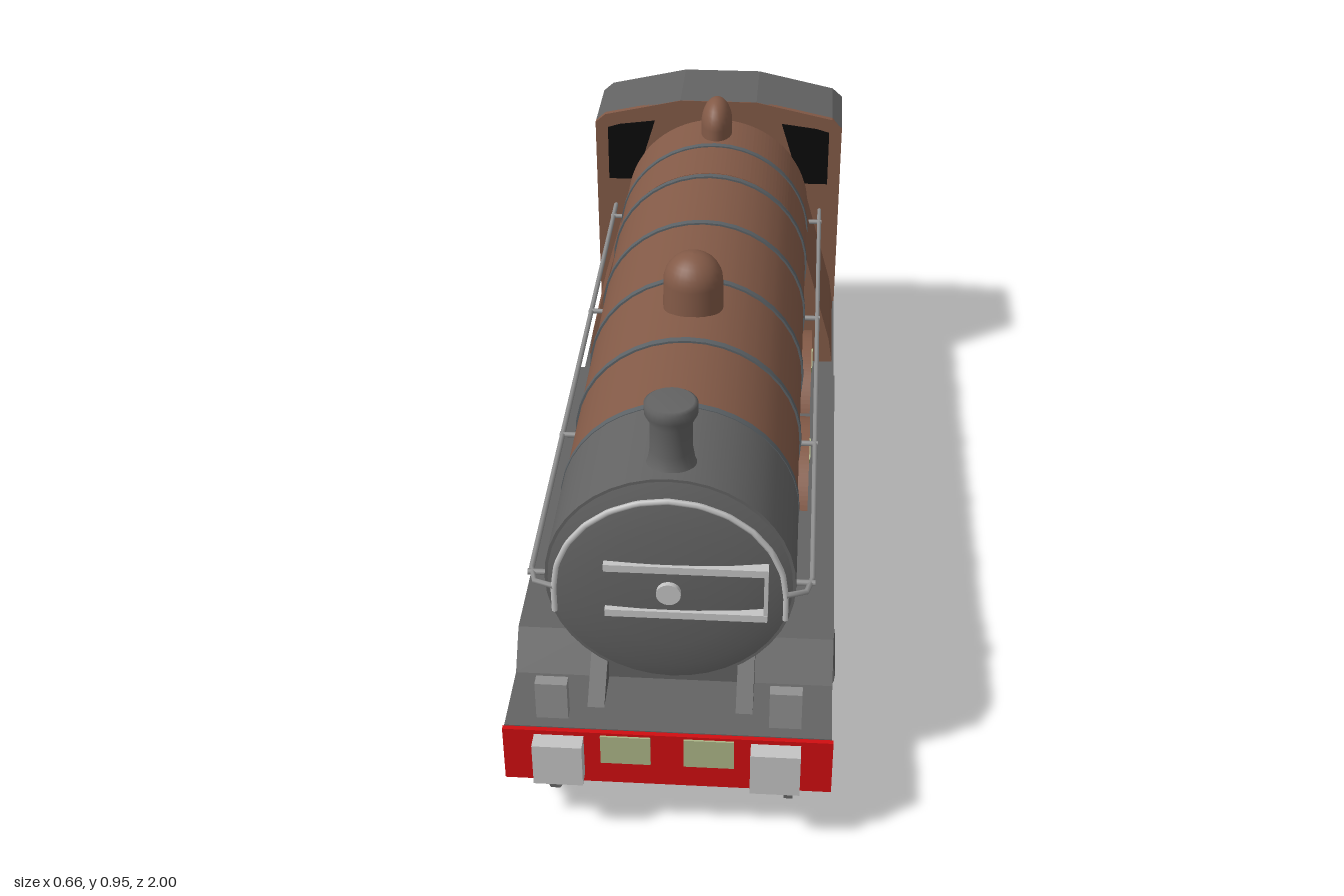
import * as THREE from 'three';

const mat = (name, color, side = THREE.FrontSide) => {
  const m = new THREE.MeshStandardMaterial({ color, side });
  m.name = name;
  return m;
};

export function createModel() {
  const brown = mat('brown', 0x835a47);
  const dark = mat('darkGrey', 0x636363);
  const mid = mat('steelGrey', 0x909090);
  const light = mat('lightGrey', 0xc4c4c4);
  const black = mat('black', 0x0a0a0a, THREE.DoubleSide);
  const red = mat('red', 0xd00d10);
  const green = mat('paleGreen', 0xabb587);
  const band = mat('bandGrey', 0x5c6266);

  const root = new THREE.Group();
  root.name = 'steamEngine';
  const add = (name, geo, m) => {
    const mesh = new THREE.Mesh(geo, m);
    mesh.name = name;
    root.add(mesh);
    return mesh;
  };
  // box given by its limits
  const box = (name, m, x0, x1, y0, y1, z0, z1) =>
    add(name, new THREE.BoxGeometry(Math.abs(x1 - x0), y1 - y0, Math.abs(z1 - z0))
      .translate((x0 + x1) / 2, (y0 + y1) / 2, (z0 + z1) / 2), m);
  const shapeOf = pts => new THREE.Shape(pts.map(p => new THREE.Vector2(p[0], p[1])));
  // side profile in (z, y), extruded along x
  const slab = (name, m, shape, x0, x1) =>
    add(name, new THREE.ExtrudeGeometry(shape, { depth: Math.abs(x1 - x0), bevelEnabled: false, curveSegments: 24 })
      .rotateY(-Math.PI / 2).translate(Math.max(x0, x1), 0, 0), m);
  // front profile in (x, y), extruded along z
  const section = (name, m, shape, z0, z1) =>
    add(name, new THREE.ExtrudeGeometry(shape, { depth: z1 - z0, bevelEnabled: false, curveSegments: 32 })
      .translate(0, 0, z0), m);
  const cylZ = (name, m, r, x, y, z0, z1, seg = 40) =>
    add(name, new THREE.CylinderGeometry(r, r, z1 - z0, seg).rotateX(Math.PI / 2).translate(x, y, (z0 + z1) / 2), m);
  const cylX = (name, m, r, x, y, z, len, seg = 36) =>
    add(name, new THREE.CylinderGeometry(r, r, len, seg).rotateZ(Math.PI / 2).translate(x, y, z), m);
  const lathe = (name, m, pts, x, y, z) =>
    add(name, new THREE.LatheGeometry(pts.map(p => new THREE.Vector2(p[0], p[1])), 28).translate(x, y, z), m);
  const tube = (name, m, pts, r, seg) =>
    add(name, new THREE.TubeGeometry(new THREE.CatmullRomCurve3(pts.map(p => new THREE.Vector3(...p)), false, 'catmullrom', 0.1),
      seg, r, 6), m);

  // ---- boiler, smokebox and bands
  const CY = 0.578;
  cylZ('boiler', brown, 0.241, 0, CY, -0.79, 0.61);
  cylZ('smokebox', dark, 0.244, 0, CY, 0.6, 0.856);
  add('smokeboxDoor', new THREE.LatheGeometry([[0.238, 0], [0.2, 0.012], [0.14, 0.022], [0.07, 0.028], [0, 0.03]]
    .map(p => new THREE.Vector2(...p)), 40).rotateX(Math.PI / 2).translate(0, CY, 0.856), dark);
  for (const z of [0.6, 0.35, 0.083, -0.19, -0.44, -0.62])
    cylZ('boilerBand', band, 0.2455, 0, CY, z - 0.008, z + 0.008);

  // ---- firebox flaring down to the footplate
  const fire = new THREE.Shape();
  fire.moveTo(-0.322, 0.27);
  fire.lineTo(0.322, 0.27);
  fire.lineTo(0.31, 0.35);
  fire.lineTo(0.24, 0.6);
  fire.absarc(0, CY, 0.2415, 0.1, Math.PI - 0.1, false);
  fire.lineTo(-0.31, 0.35);
  section('firebox', brown, fire, -0.79, -0.46);

  // ---- door hinges, boss and front rail
  for (const y of [0.525, 0.634])
    box('doorHinge', light, -0.125, 0.19, y - 0.008, y + 0.008, 0.865, 0.892);
  box('hingePost', light, 0.183, 0.191, 0.52, 0.64, 0.862, 0.891);
  cylZ('doorBoss', light, 0.024, 0, CY, 0.87, 0.896, 20);
  const arc = [[-0.225, 0.51, 0.872]];
  for (let i = 0; i <= 12; i++) {
    const a = Math.PI * (1 - i / 12);
    arc.push([0.225 * Math.cos(a), 0.565 + 0.217 * Math.sin(a), 0.872]);
  }
  arc.push([0.225, 0.51, 0.872]);
  tube('frontHandrail', light, arc, 0.006, 60);

  // ---- chimney and domes
  lathe('chimney', dark, [[0.06, 0], [0.046, 0.02], [0.041, 0.05], [0.041, 0.11], [0.051, 0.13], [0.051, 0.15],
    [0.044, 0.155], [0, 0.155]], 0, 0.8, 0.79);
  const domePts = [[0.066, 0]];
  for (let i = 0; i <= 8; i++)
    domePts.push([0.065 * Math.cos(i * Math.PI / 16), 0.075 + 0.065 * Math.sin(i * Math.PI / 16)]);
  lathe('steamDome', brown, domePts, 0, 0.8, 0.185);
  add('safetyValveCover', new THREE.SphereGeometry(1, 24, 16).scale(0.04, 0.065, 0.068).translate(0, 0.845, -0.715), brown);
  add('valveCoverBase', new THREE.CylinderGeometry(1, 1, 0.05, 24).scale(0.04, 1, 0.068).translate(0, 0.82, -0.715), brown);

  // ---- cab
  const roofLine = [[0.326, 0.803], [0.3, 0.826], [0.1, 0.87], [-0.1, 0.87], [-0.3, 0.826], [-0.326, 0.803]];
  const innerLine = roofLine.map(([x, y]) => [x * 0.965, y - 0.012]);
  section('cabFront', brown, shapeOf([[-0.325, 0.25], [0.325, 0.25], ...roofLine]), -0.8, -0.785);
  section('cabRoof', dark, shapeOf([...roofLine, ...innerLine.slice().reverse()]), -0.998, -0.787);
  section('cabFloor', dark, shapeOf([[-0.325, 0.25], [0.325, 0.25], [0.325, 0.272], [-0.325, 0.272]]), -0.998, -0.8);
  add('cabBackhead', new THREE.ShapeGeometry(shapeOf([[-0.314, 0.272], [0.314, 0.272], ...innerLine]))
    .translate(0, 0, -0.802), black);
  // thin black lining following the roof and walls
  const lining = [[0.313, 0.272], ...innerLine.map(([x, y]) => [x * 0.995, y - 0.002]), [-0.313, 0.272]];
  const liningIn = lining.map(([x, y]) => [x * 0.99, y - (y > 0.3 ? 0.003 : 0)]);
  section('cabLining', black, shapeOf([...lining, ...liningIn.reverse()]), -0.997, -0.802);
  box('cabSeatBox', dark, -0.125, 0.125, 0.27, 0.325, -0.95, -0.8);

  // ---- main frame, rear underframe, deck and front beam
  box('mainFrame', dark, -0.13, 0.13, 0.085, 0.34, -0.6, 0.73);
  box('rearUnderframe', dark, -0.31, 0.31, 0.096, 0.252, -0.985, -0.51);
  box('smokeboxSaddle', dark, -0.14, 0.14, 0.28, 0.4, 0.3, 0.8);
  box('frontDeck', dark, -0.325, 0.325, 0.25, 0.28, 0.74, 0.955);
  box('beamBacking', dark, -0.325, 0.325, 0.148, 0.278, 0.87, 0.955);
  box('frontBeam', red, -0.328, 0.328, 0.147, 0.278, 0.955, 0.965);
  box('frameNose', dark, -0.13, 0.13, 0.16, 0.26, 0.7, 0.88);

  const board = shapeOf([[0.955, 0.28], [0.8, 0.28], [0.74, 0.352], [-0.28, 0.352], [-0.36, 0.282], [-0.79, 0.282],
    [-0.79, 0.25], [-0.37, 0.25], [-0.29, 0.315], [0.725, 0.315], [0.785, 0.24], [0.955, 0.24]]);
  const stay = shapeOf([[0.9, 0.275], [0.77, 0.377], [0.28, 0.377], [0.28, 0.275]]);
  const axles = [[0.795, 0.115], [0.466, 0.115], [0.13, 0.188], [-0.27, 0.188], [-0.66, 0.115]];

  for (const [z, r] of axles) cylX('axle', dark, 0.012, 0, r, z, 0.46, 12);

  for (const s of [1, -1]) {
    const side = s > 0 ? 'left' : 'right';
    slab(side + 'RunningBoard', dark, board, s * 0.16, s * 0.325);
    slab(side + 'FrameStay', dark, stay, s * 0.132, s * 0.166);
    box(side + 'LampIron', mid, s * 0.2, s * 0.264, 0.27, 0.368, 0.905, 0.93);
    box(side + 'BumperBlock', light, s * 0.166, s * 0.265, 0.168, 0.268, 0.965, 1.0);
    box(side + 'BeamPanel', green, s * 0.033, s * 0.133, 0.202, 0.272, 0.965, 0.969);

    // wheels with steel tyres
    for (const [z, r] of axles) {
      cylX(side + 'Tyre', mid, r, s * 0.243, r, z, 0.018, 44);
      cylX(side + 'WheelDisc', brown, r - 0.018, s * 0.243, r, z, 0.022, 40);
    }

    // splashers over the driving wheels, each with a diamond plate
    for (const z of [0.13, -0.27]) {
      const arch = new THREE.Shape();
      arch.absarc(z, 0.268, 0.19, 0.25, Math.PI - 0.25, false);
      slab(side + 'Splasher', brown, arch, s * 0.165, s * 0.265);
      slab(side + 'Diamond', green, shapeOf([[z - 0.035, 0.4], [z, 0.365], [z + 0.035, 0.4], [z, 0.435]]),
        s * 0.264, s * 0.268);
    }

    // cylinder and rods
    cylZ(side + 'Cylinder', dark, 0.062, s * 0.27, 0.232, 0.58, 0.715, 28);
    slab(side + 'ConnectingRod', mid, shapeOf([[0.6, 0.246], [0.4, 0.242], [0.4, 0.222], [-0.35, 0.153],
      [-0.35, 0.18], [0, 0.205], [0.38, 0.245], [0.6, 0.258]]), s * 0.275, s * 0.295);
    slab(side + 'CouplingRod', mid, shapeOf([[0.115, 0.158], [0.115, 0.19], [-0.32, 0.182], [-0.32, 0.158]]),
      s * 0.256, s * 0.272);
    box(side + 'Crosshead', dark, s * 0.265, s * 0.312, 0.182, 0.255, 0.382, 0.412);

    // cab wall and dark windows
    box(side + 'CabWall', brown, s * 0.314, s * 0.325, 0.25, 0.803, -0.998, -0.788);
    slab(side + 'SideWindow', black, shapeOf([[-0.92, 0.77], [-0.92, 0.645], [-0.965, 0.617], [-0.998, 0.617], [-0.998, 0.77]]),
      s * 0.324, s * 0.328);
    section(side + 'FrontWindow', black, shapeOf([[0.293, 0.642], [0.293, 0.79], [0.26, 0.8], [0.168, 0.812], [0.22, 0.642]]
      .map(([x, y]) => [s * x, y])), -0.786, -0.781);

    // side handrail with its front link
    tube(side + 'Handrail', mid, [[s * 0.275, 0.57, -0.77], [s * 0.275, 0.57, 0], [s * 0.275, 0.57, 0.82],
      [s * 0.262, 0.57, 0.86], [s * 0.225, 0.57, 0.872]], 0.006, 40);
    for (const z of [0.83, 0.35, -0.19, -0.7])
      cylX(side + 'RailKnob', mid, 0.006, s * 0.256, 0.57, z, 0.05, 8);
  }
  return root;
}
